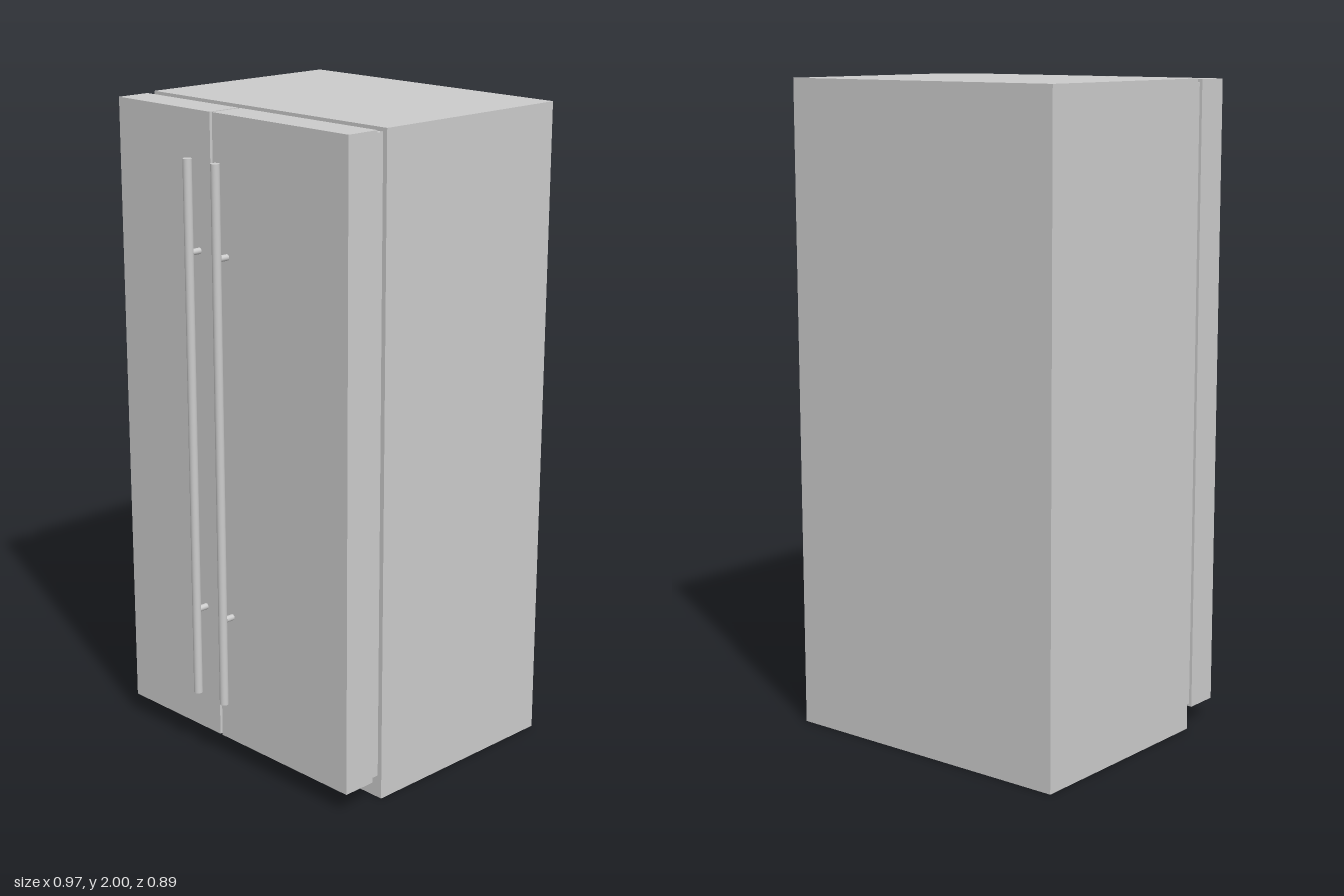
import * as THREE from 'three';

const material = new THREE.MeshStandardMaterial({ color: 0xcccccc });

// Box given by its min and max along each axis
function box(name, [x0, x1], [y0, y1], [z0, z1]) {
  const mesh = new THREE.Mesh(new THREE.BoxGeometry(x1 - x0, y1 - y0, z1 - z0), material);
  mesh.name = name;
  mesh.position.set((x0 + x1) / 2, (y0 + y1) / 2, (z0 + z1) / 2);
  return mesh;
}

function rod(name, radius, length, x, y, z) {
  const mesh = new THREE.Mesh(new THREE.CylinderGeometry(radius, radius, length, 32), material);
  mesh.name = name;
  mesh.position.set(x, y, z);
  return mesh;
}

// Door slab with a recessed gasket behind it and a long bar handle on two posts
function door(name, x0, x1, handleX) {
  const group = new THREE.Group();
  group.name = name;
  const inset = 0.009;
  group.add(
    box('doorPanel', [x0, x1], [0.062, 1.997], [0.281, 0.39]),
    box('doorGasket', [x0 + inset, x1 - inset], [0.062 + inset, 1.997 - inset], [0.25, 0.281]),
    rod('handleBar', 0.0135, 1.663, handleX, 1.0315, 0.4295)
  );
  for (const y of [0.475, 1.588]) {
    const post = rod('handlePost', 0.0095, 0.04, handleX, y, 0.408);
    post.rotation.x = Math.PI / 2;
    group.add(post);
  }
  return group;
}

export function createModel() {
  const model = new THREE.Group();
  model.name = 'refrigerator';
  model.add(
    box('cabinet', [-0.486, 0.486], [0, 2], [-0.443, 0.25]),
    door('narrowDoor', -0.481, -0.075, -0.13),
    door('wideDoor', -0.065, 0.48, -0.01)
  );
  return model;
}
